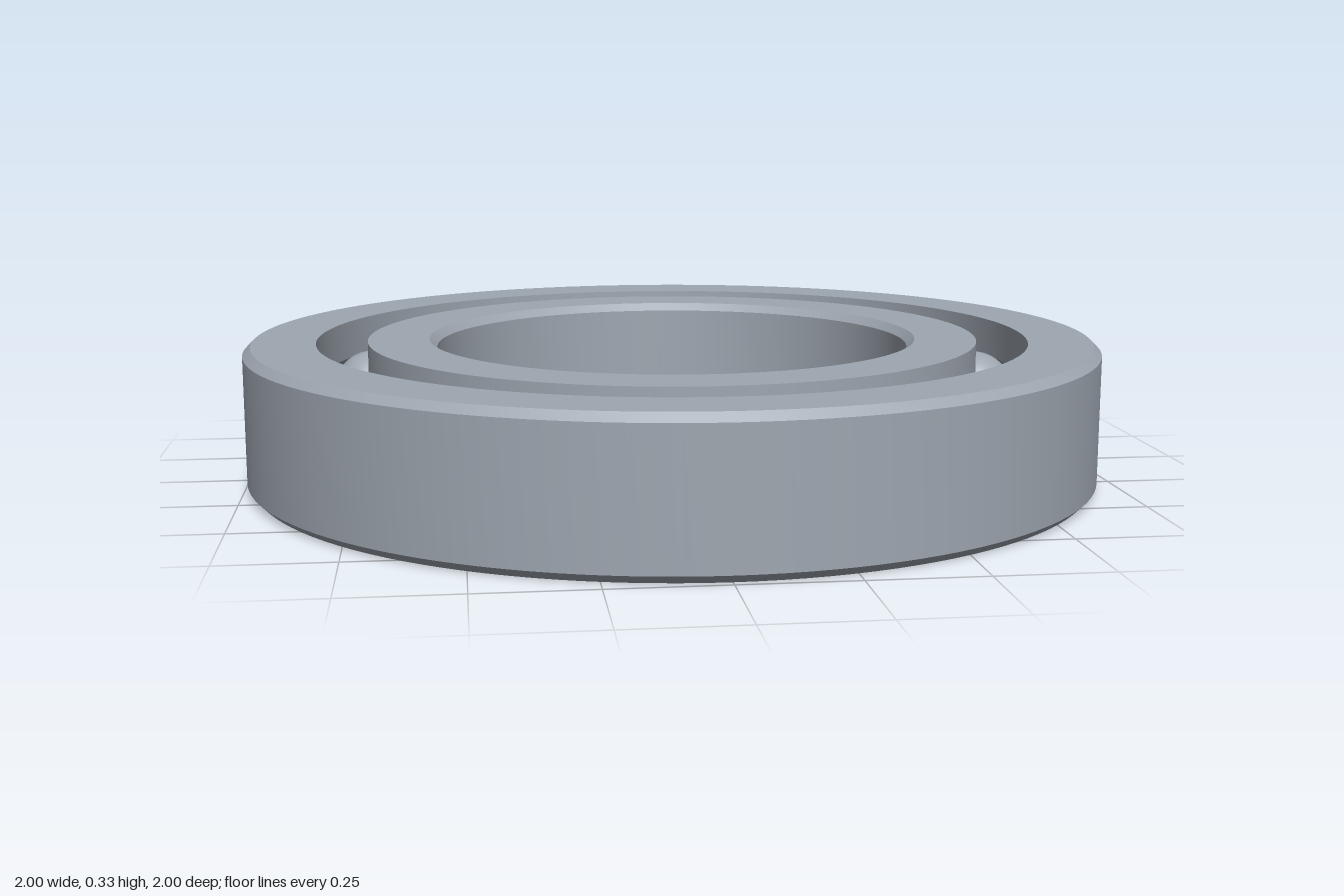
import * as THREE from 'three';
import { toCreasedNormals } from 'three/addons/utils/BufferGeometryUtils.js';

const HEIGHT = 0.33, MID = HEIGHT / 2;
const OUTER = 1, OUTER_LAND = 0.834, INNER_LAND = 0.716, BORE = 0.555;
const CHAMFER = 0.018;
const PITCH = 0.775, BALL = 0.0935, GROOVE = 0.0945;
const BALL_COUNT = 19, FIRST_ANGLE = THREE.MathUtils.degToRad(87.8);

// Arc of the ball groove cut into a wall; side is +1 for the outer ring, -1 for the inner
function groove(land, side) {
  const half = Math.acos(Math.abs(land - PITCH) / GROOVE);
  const points = [];
  for (let i = 0; i <= 16; i++) {
    const t = side * half * (1 - i / 8);
    points.push([PITCH + side * GROOVE * Math.cos(t), MID + GROOVE * Math.sin(t)]);
  }
  return points;
}

// Closed profile, counter-clockwise in (radius, height), turned about y
function ring(name, profile, material) {
  const points = [...profile, profile[0]].map(([r, y]) => new THREE.Vector2(r, y));
  const geometry = toCreasedNormals(new THREE.LatheGeometry(points, 128), 0.5);
  const mesh = new THREE.Mesh(geometry, material);
  mesh.name = name;
  return mesh;
}

export function createModel() {
  const model = new THREE.Group();
  model.name = 'ballBearing';
  const steel = new THREE.MeshStandardMaterial({ color: 0x9ea6b0 });
  steel.name = 'steel';

  // Outer race, chamfered on its outside edges
  model.add(ring('outerRing', [
    [OUTER_LAND, 0], [OUTER - CHAMFER, 0], [OUTER, CHAMFER],
    [OUTER, HEIGHT - CHAMFER], [OUTER - CHAMFER, HEIGHT], [OUTER_LAND, HEIGHT],
    ...groove(OUTER_LAND, 1),
  ], steel));

  // Inner race, chamfered on its bore edges
  model.add(ring('innerRing', [
    [INNER_LAND, 0], ...groove(INNER_LAND, -1), [INNER_LAND, HEIGHT],
    [BORE + CHAMFER, HEIGHT], [BORE, HEIGHT - CHAMFER],
    [BORE, CHAMFER], [BORE + CHAMFER, 0],
  ], steel));

  // Balls spaced evenly around the groove
  const balls = new THREE.Group();
  balls.name = 'balls';
  const ballGeometry = new THREE.SphereGeometry(BALL, 32, 20);
  for (let i = 0; i < BALL_COUNT; i++) {
    const angle = FIRST_ANGLE + (i * Math.PI * 2) / BALL_COUNT;
    const ball = new THREE.Mesh(ballGeometry, steel);
    ball.name = 'ball';
    ball.position.set(PITCH * Math.cos(angle), MID, PITCH * Math.sin(angle));
    balls.add(ball);
  }
  model.add(balls);
  return model;
}
